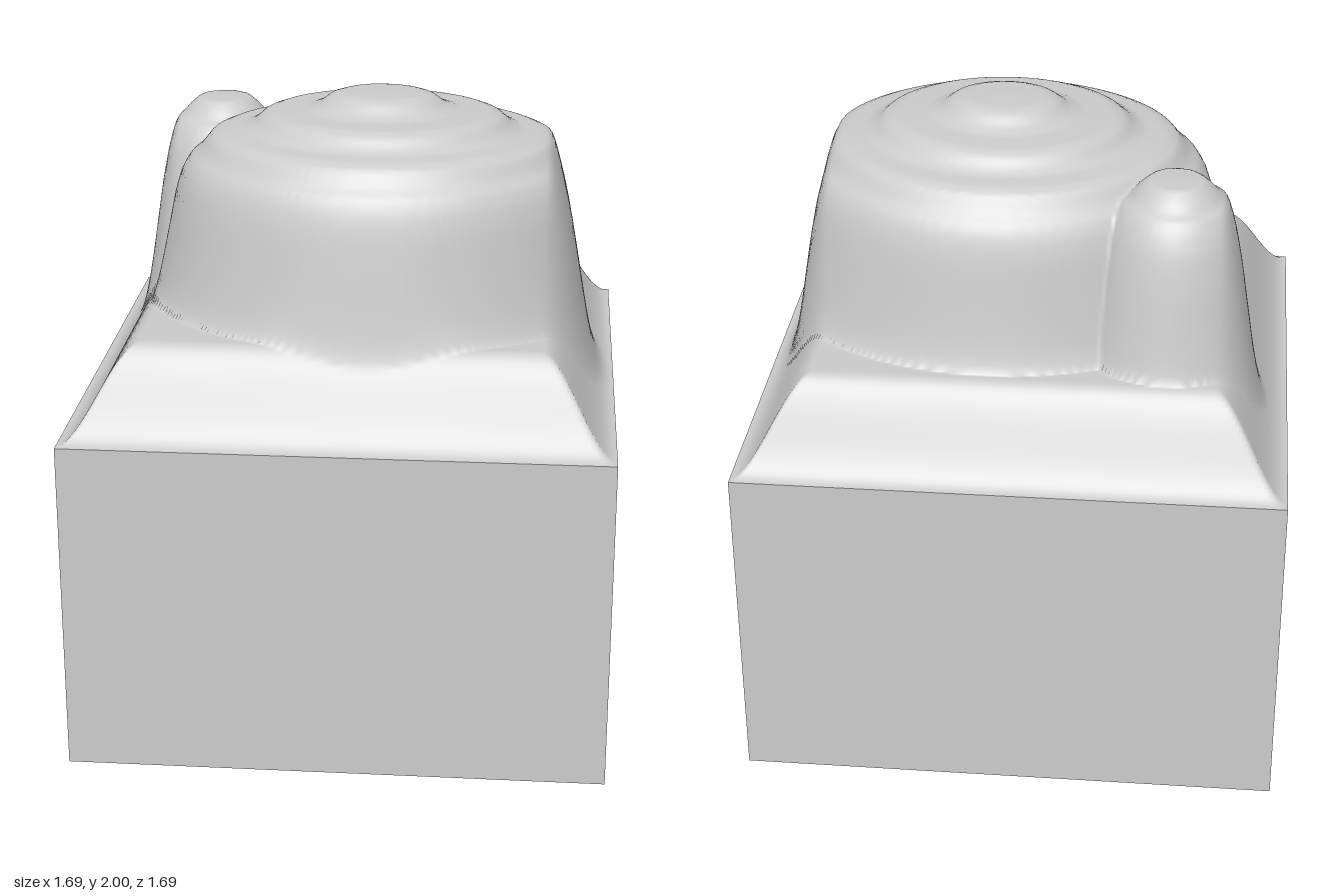
import * as THREE from 'three';

const HALF = 0.845;   // half width of the square block
const RIM = 1.07;     // height of the block's upper edge
const PLATEAU = 1.34; // ground level around the hills

// Each hill: centre, horizontal stretch, and [radius, height] profile
const hills = [
  {
    x: 0.085, z: 0.04, sx: 1.19,
    profile: [[0, 2], [0.11, 1.996], [0.14, 1.985], [0.17, 1.958], [0.205, 1.943], [0.29, 1.938],
      [0.32, 1.925], [0.345, 1.898], [0.37, 1.883], [0.43, 1.875], [0.46, 1.86], [0.49, 1.815],
      [0.52, 1.785], [0.54, 1.745], [0.558, 1.68], [0.575, 1.58], [0.595, 1.47], [0.61, 1.4], [0.63, PLATEAU]],
  },
  {
    x: -0.47, z: -0.31, sx: 1,
    profile: [[0, 1.893], [0.085, 1.888], [0.115, 1.862], [0.14, 1.834], [0.165, 1.82], [0.19, 1.785],
      [0.215, 1.73], [0.24, 1.63], [0.265, 1.5], [0.285, 1.4], [0.3, PLATEAU]],
  },
];

function profileHeight(profile, r) {
  for (let i = 1; i < profile.length; i++) {
    const [r0, h0] = profile[i - 1], [r1, h1] = profile[i];
    if (r < r1) return THREE.MathUtils.lerp(h0, h1, (r - r0) / (r1 - r0));
  }
  return PLATEAU;
}

// Highest hill at the point, faded down to the rim near the block's sides
function terrainHeight(x, z) {
  let h = PLATEAU;
  for (const hill of hills) {
    const r = Math.hypot((x - hill.x) / hill.sx, z - hill.z);
    h = Math.max(h, profileHeight(hill.profile, r));
  }
  const edge = HALF - Math.max(Math.abs(x), Math.abs(z));
  return RIM + (h - RIM) * THREE.MathUtils.smoothstep(edge, 0, 0.232);
}

export function createModel() {
  const group = new THREE.Group();
  const material = new THREE.MeshStandardMaterial({ color: 0xcccccc, side: THREE.DoubleSide });

  // Terraced landscape: a grid raised by the height rule
  const ground = new THREE.PlaneGeometry(HALF * 2, HALF * 2, 160, 160).rotateX(-Math.PI / 2);
  const p = ground.attributes.position;
  for (let i = 0; i < p.count; i++) p.setY(i, terrainHeight(p.getX(i), p.getZ(i)));
  ground.computeVertexNormals();
  const terrain = new THREE.Mesh(ground, material);
  terrain.name = 'terrain';
  group.add(terrain);

  // Four thin walls, open at the bottom
  for (let i = 0; i < 4; i++) {
    const geometry = new THREE.PlaneGeometry(HALF * 2, RIM).translate(0, RIM / 2, HALF);
    const wall = new THREE.Mesh(geometry, material);
    wall.rotation.y = i * Math.PI / 2;
    wall.name = ['frontWall', 'leftWall', 'backWall', 'rightWall'][i];
    group.add(wall);
  }
  return group;
}
